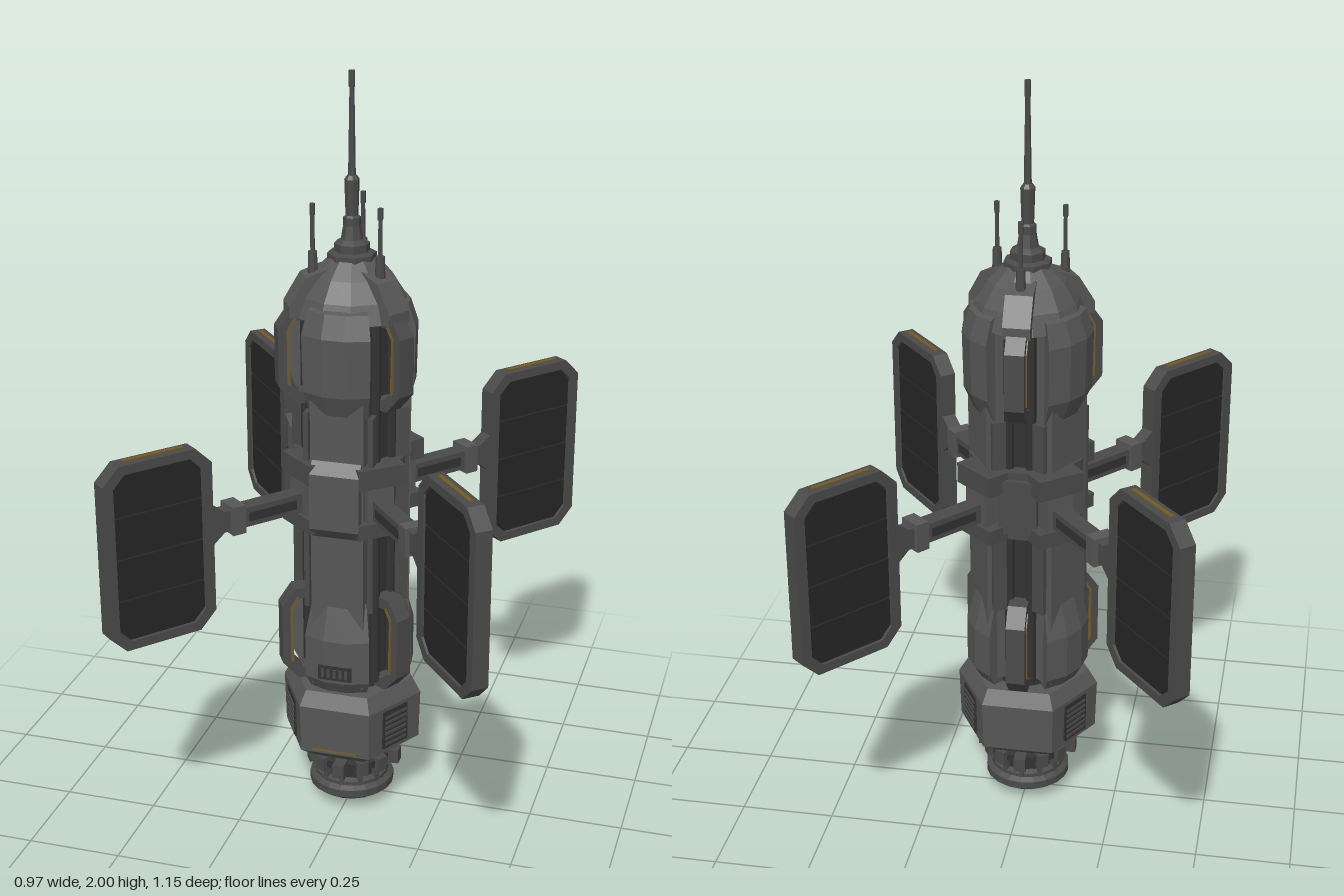
import * as THREE from 'three';
import { mergeGeometries } from 'three/addons/utils/BufferGeometryUtils.js';

const material = (name, color) => new THREE.MeshStandardMaterial({ name, color, flatShading: true, side: THREE.DoubleSide });
const hull = material('hull grey', 0x565656);
const frame = material('frame grey', 0x4a4a4a);
const dark = material('dark recess', 0x323232);
const cell = material('solar cell', 0x262626);
const gold = material('gold trim', 0x6e5a2e);

const rad = THREE.MathUtils.degToRad;
const v2 = (pts) => pts.map(([x, y]) => new THREE.Vector2(x, y));

function add(parent, name, geo, mat, x = 0, y = 0, z = 0) {
  const mesh = new THREE.Mesh(geo, mat);
  mesh.name = name;
  mesh.position.set(x, y, z);
  parent.add(mesh);
  return mesh;
}

// Box given by its limits in y and z, centred on x
const box = (parent, name, mat, w, y0, y1, z0, z1, x = 0) =>
  add(parent, name, new THREE.BoxGeometry(w, y1 - y0, z1 - z0), mat, x, (y0 + y1) / 2, (z0 + z1) / 2);

const lathe = (parent, name, mat, pts, sides, start = 0) =>
  add(parent, name, new THREE.LatheGeometry(v2(pts), sides, rad(start)), mat);

const rod = (parent, name, mat, r0, r1, y0, y1, x = 0, z = 0, sides = 8) =>
  add(parent, name, new THREE.CylinderGeometry(r1, r0, y1 - y0, sides), mat, x, (y0 + y1) / 2, z);

// Group whose +z points outward at the given turn about the axis
function sector(parent, name, deg) {
  const g = new THREE.Group();
  g.name = name;
  g.rotation.y = rad(deg);
  parent.add(g);
  return g;
}

// Plate drawn in (radius, height), extruded across x
function radialPlate(pts, depth, hole) {
  const shape = new THREE.Shape(v2(pts));
  if (hole) shape.holes.push(new THREE.Path(v2(hole)));
  return new THREE.ExtrudeGeometry(shape, { depth, bevelEnabled: false })
    .translate(0, 0, -depth / 2).rotateY(-Math.PI / 2);
}

// Rectangle with cut corners
const cutRect = (x0, x1, y0, y1, c) => [
  [x0 + c, y0], [x1 - c, y0], [x1, y0 + c], [x1, y1 - c],
  [x1 - c, y1], [x0 + c, y1], [x0, y1 - c], [x0, y0 + c]];

// Curved armour shell with closed ends
function shellGeometry(profile, half) {
  const parts = [new THREE.LatheGeometry(v2(profile), 3, rad(-half), rad(2 * half))];
  for (const s of [-1, 1]) {
    parts.push(new THREE.ShapeGeometry(new THREE.Shape(v2(profile))).rotateY(-Math.PI / 2 + s * rad(half)));
  }
  return mergeGeometries(parts);
}

const upperShell = shellGeometry([[0.1, 1.13], [0.135, 1.15], [0.165, 1.22], [0.168, 1.37], [0.148, 1.43], [0.1, 1.45]], 32);
const lowerShell = shellGeometry([[0.1, 0.38], [0.145, 0.385], [0.165, 0.42], [0.165, 0.54], [0.138, 0.64], [0.1, 0.65]], 32);

function addGrabHandle(g, y0, y1) {
  const outer = [[0.1, y0], [0.15, y0], [0.195, y0 + 0.05], [0.195, y1 - 0.05], [0.16, y1], [0.1, y1]];
  const inner = [[0.1, y1 - 0.03], [0.15, y1 - 0.03], [0.17, y1 - 0.06], [0.17, y0 + 0.06], [0.14, y0 + 0.03], [0.1, y0 + 0.03]];
  add(g, 'grabHandle', radialPlate([...outer, ...inner], 0.05), frame);
  // Thin trim line on both sides of the handle
  const line = [[0.165, y0 + 0.05], [0.174, y0 + 0.055], [0.174, y1 - 0.055], [0.155, y1 - 0.022], [0.149, y1 - 0.026], [0.168, y1 - 0.057]];
  for (const s of [-1, 1]) add(g, 'handleTrim', radialPlate(line, 0.004), gold, s * 0.026);
}

function addBody(root) {
  const body = new THREE.Group();
  body.name = 'body';
  body.position.z = 0.015;
  root.add(body);

  lathe(body, 'core', dark, [[0, 0.36], [0.115, 0.36], [0.115, 1.42], [0, 1.42]], 12, 15);
  lathe(body, 'noseDome', hull, [[0.1, 1.38], [0.15, 1.4], [0.132, 1.45], [0.1, 1.5], [0.058, 1.54], [0, 1.545]], 12, 15);
  for (const [y0, y1] of [[0.84, 0.875], [0.985, 1.03]]) {
    lathe(body, 'collarBand', frame, [[0.1, y0], [0.152, y0], [0.152, y1], [0.1, y1]], 12, 15);
  }

  // Three spines with armour shells
  for (const a of [0, 120, 240]) {
    const g = sector(body, 'spineSector', a);
    box(g, 'spine', hull, 0.14, 0.4, 1.4, 0.08, 0.138);
    for (const s of [-1, 1]) box(g, 'spineRail', frame, 0.014, 0.62, 1.16, 0.08, 0.128, s * 0.085);
    add(g, 'upperShell', upperShell, hull);
    add(g, 'lowerShell', lowerShell, hull);
  }

  // Three recesses with rods, grab handles and small antennas
  for (const a of [60, 180, 300]) {
    const g = sector(body, 'recessSector', a);
    for (const s of [-1, 1]) rod(g, 'conduit', dark, 0.013, 0.013, 0.4, 1.42, s * 0.028, 0.115);
    addGrabHandle(g, 1.17, 1.42);
    addGrabHandle(g, 0.385, 0.65);
    add(g, 'antennaMount', radialPlate([[0.07, 1.4], [0.168, 1.4], [0.168, 1.43], [0.125, 1.5], [0.07, 1.52]], 0.07), hull);
    rod(g, 'antennaSocket', frame, 0.014, 0.011, 1.48, 1.56, 0, 0.1);
    rod(g, 'smallAntenna', frame, 0.006, 0.005, 1.55, 1.68, 0, 0.1, 6);
    rod(g, 'antennaTip', frame, 0.007, 0.007, 1.65, 1.68, 0, 0.1, 6);
  }

  // Equipment boxes at the waist and the lower hatch grille
  add(body, 'frontBox', radialPlate([[0.1, 0.83], [0.14, 0.83], [0.165, 0.86], [0.165, 1.01], [0.14, 1.04], [0.1, 1.04]], 0.13), hull);
  box(body, 'backBox', frame, 0.1, 0.86, 1.01, -0.16, -0.1);
  box(body, 'grillePlate', dark, 0.09, 0.43, 0.47, 0.16, 0.1655);
  for (let i = 0; i < 5; i++) box(body, 'grilleBar', frame, 0.008, 0.438, 0.462, 0.162, 0.169, (i - 2) * 0.016);

  // Main mast
  lathe(body, 'mastBase', frame, [[0.062, 1.53], [0.062, 1.55], [0.045, 1.555], [0.045, 1.575], [0.028, 1.585],
    [0.022, 1.62], [0.022, 1.64], [0.016, 1.645], [0.019, 1.735], [0.012, 1.745], [0, 1.745]], 8, 22.5);
  rod(body, 'mast', frame, 0.01, 0.006, 1.74, 1.98);
  rod(body, 'mastTip', frame, 0.008, 0.008, 1.96, 2);
}

function addEngine(root) {
  const engine = new THREE.Group();
  engine.name = 'engine';
  engine.position.z = 0.017;
  root.add(engine);

  // Hexagonal housing
  lathe(engine, 'engineHousing', hull, [[0, 0.165], [0.13, 0.165], [0.188, 0.205], [0.192, 0.34], [0.168, 0.38], [0, 0.385]], 6, 30);
  box(engine, 'housingTrim', gold, 0.12, 0.212, 0.216, 0.16, 0.1675);
  for (const a of [60, 120, 240, 300]) {
    const g = sector(engine, 'sideVent', a);
    box(g, 'ventPlate', dark, 0.09, 0.22, 0.33, 0.161, 0.169);
    for (let i = 0; i < 6; i++) box(g, 'ventSlat', frame, 0.078, 0.229 + i * 0.016, 0.236 + i * 0.016, 0.163, 0.172);
  }

  // Ring of fittings above the nozzle
  lathe(engine, 'nozzleNeck', dark, [[0.085, 0.08], [0.085, 0.12], [0.11, 0.125], [0.11, 0.145], [0.09, 0.15], [0.09, 0.17]], 16);
  for (let i = 0; i < 12; i++) {
    const g = sector(engine, 'neckFitting', i * 30);
    box(g, 'fittingBlock', frame, 0.032, 0.115, 0.155, 0.09, i % 3 ? 0.122 : 0.136);
    box(g, 'neckStrut', frame, 0.012, 0.07, 0.12, 0.075, 0.1);
  }
  lathe(engine, 'nozzleBowl', frame, [[0, 0], [0.035, 0.003], [0.07, 0.014], [0.098, 0.032], [0.115, 0.045],
    [0.115, 0.066], [0.1, 0.074], [0.1, 0.084], [0.08, 0.092], [0, 0.092]], 20);
}

function addSolarArm(root, deg) {
  const g = sector(root, 'solarArm', deg);
  // Root clamp on the hull
  for (const [y0, y1] of [[0.84, 0.88], [0.975, 1.03]]) box(g, 'clampBand', frame, 0.13, y0, y1, 0.1, 0.178);
  box(g, 'clampBlock', hull, 0.075, 0.87, 0.98, 0.1, 0.172);
  // Boom, joint and fork
  box(g, 'boom', frame, 0.045, 0.888, 0.94, 0.12, 0.36);
  for (const s of [-1, 1]) box(g, 'boomInset', dark, 0.004, 0.902, 0.926, 0.19, 0.33, s * 0.023);
  box(g, 'joint', hull, 0.062, 0.877, 0.953, 0.345, 0.382);
  add(g, 'fork', radialPlate([[0.37, 0.887], [0.4, 0.887], [0.44, 0.855], [0.44, 0.97], [0.4, 0.943], [0.37, 0.943]], 0.038), frame);
  // Panel frame with four cells on both faces
  add(g, 'panelFrame', radialPlate(cutRect(0.433, 0.732, 0.638, 1.132, 0.045), 0.044,
    cutRect(0.461, 0.704, 0.662, 1.108, 0.032)), frame);
  add(g, 'panelBacking', radialPlate(cutRect(0.455, 0.71, 0.656, 1.114, 0.035), 0.022), dark);
  const h = 0.446 / 4;
  for (let i = 0; i < 4; i++) {
    const y0 = 0.662 + i * h + 0.002, y1 = y0 + h - 0.004;
    const lo = i === 0 ? 0.032 : 0, hi = i === 3 ? 0.032 : 0;
    add(g, 'solarCell', radialPlate([[0.462 + lo, y0], [0.703 - lo, y0], [0.703, y0 + lo], [0.703, y1 - hi],
      [0.703 - hi, y1], [0.462 + hi, y1], [0.462, y1 - hi], [0.462, y0 + lo]], 0.032), cell);
  }
  for (const y of [0.633, 1.132]) box(g, 'panelEdgeTrim', gold, 0.012, y, y + 0.005, 0.5, 0.665);
}

export function createModel() {
  const root = new THREE.Group();
  root.name = 'satellite';
  addBody(root);
  addEngine(root);
  for (const deg of [40, 140, 220, 320]) addSolarArm(root, deg);
  return root;
}
